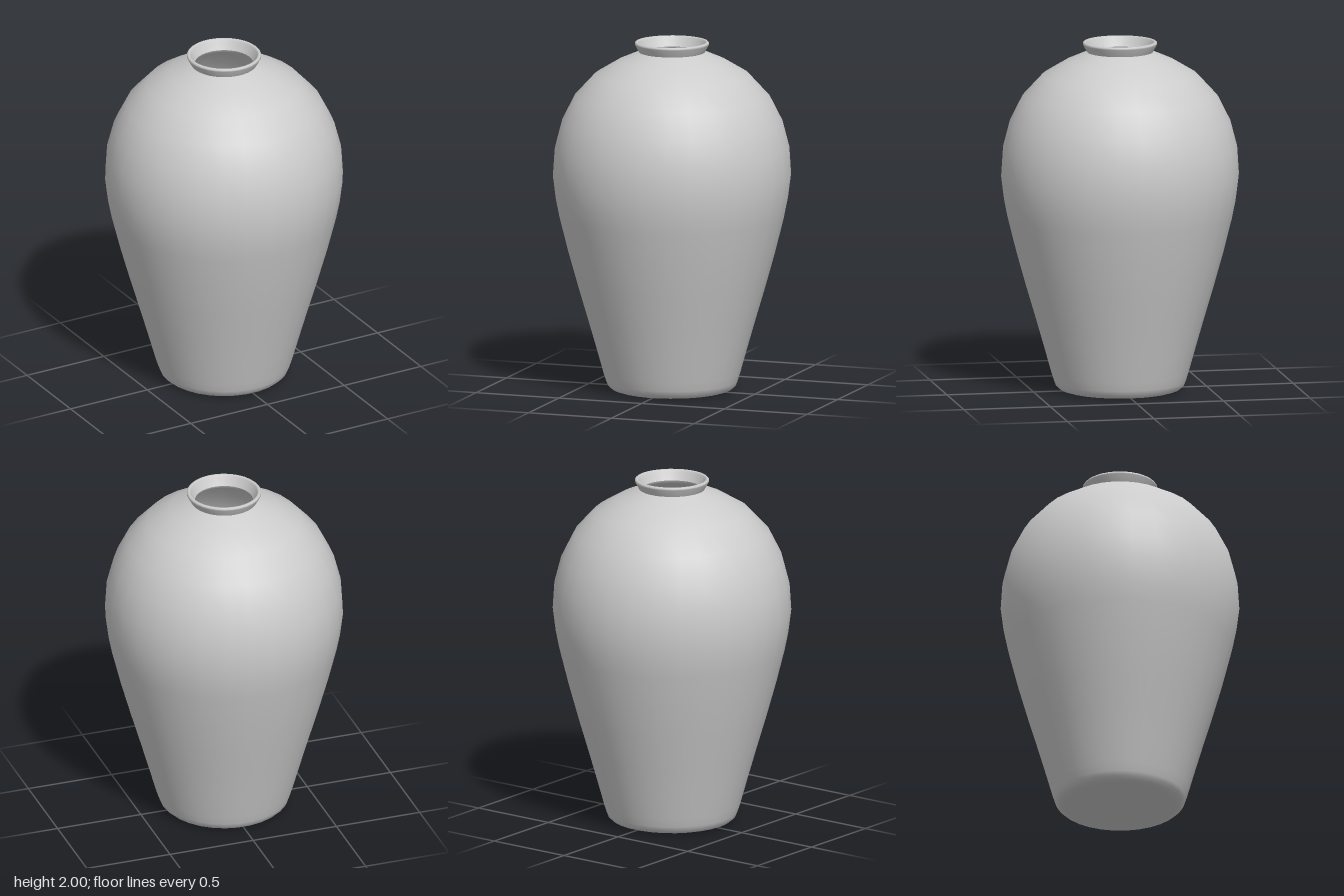
import * as THREE from 'three';

const SIDES = 30;

// Turns a profile of [radius, height] points around the y axis, with a corner on the x axis
function turn(name, profile) {
  const points = profile.map(([r, y]) => new THREE.Vector2(r, y));
  const geometry = new THREE.LatheGeometry(points, SIDES);
  geometry.rotateY(Math.PI / 2);
  const material = new THREE.MeshStandardMaterial({ color: 0xcccccc, side: THREE.DoubleSide });
  const mesh = new THREE.Mesh(geometry, material);
  mesh.name = name;
  return mesh;
}

export function createModel() {
  const vase = new THREE.Group();
  vase.name = 'vase';

  // Flat underside
  vase.add(turn('base', [[0, 0], [0.32, 0]]));

  // Rounded foot, tapering wall and full shoulder
  const wall = [
    [0.39, 0.1], [0.432, 0.25], [0.475, 0.4], [0.534, 0.6], [0.59, 0.8], [0.64, 1.0],
    [0.66, 1.1], [0.677, 1.235], [0.667, 1.39], [0.628, 1.54], [0.555, 1.685],
    [0.44, 1.81], [0.307, 1.89],
  ];
  const foot = [[0.32, 0], [0.345, 0.008], [0.364, 0.025], [0.374, 0.05]];
  vase.add(turn('body', [...foot, ...wall, [0.187, 1.942]]));

  // Flared lip with a narrow rolled rim
  vase.add(turn('lip', [
    [0.187, 1.942], [0.211, 1.985], [0.211, 1.994], [0.205, 2.0], [0.196, 2.0],
    [0.19, 1.994], [0.188, 1.985], [0.165, 1.942],
  ]));

  // Hollow inside, a constant thickness within the wall
  const inner = wall.map(([r, y]) => [r - 0.02, y > 1.3 ? y - 0.015 : y]).reverse();
  vase.add(turn('interior', [[0.165, 1.942], [0.172, 1.925], ...inner, [0.35, 0.05], [0.32, 0.025]]));
  vase.add(turn('innerFloor', [[0.32, 0.025], [0, 0.025]]));

  return vase;
}
